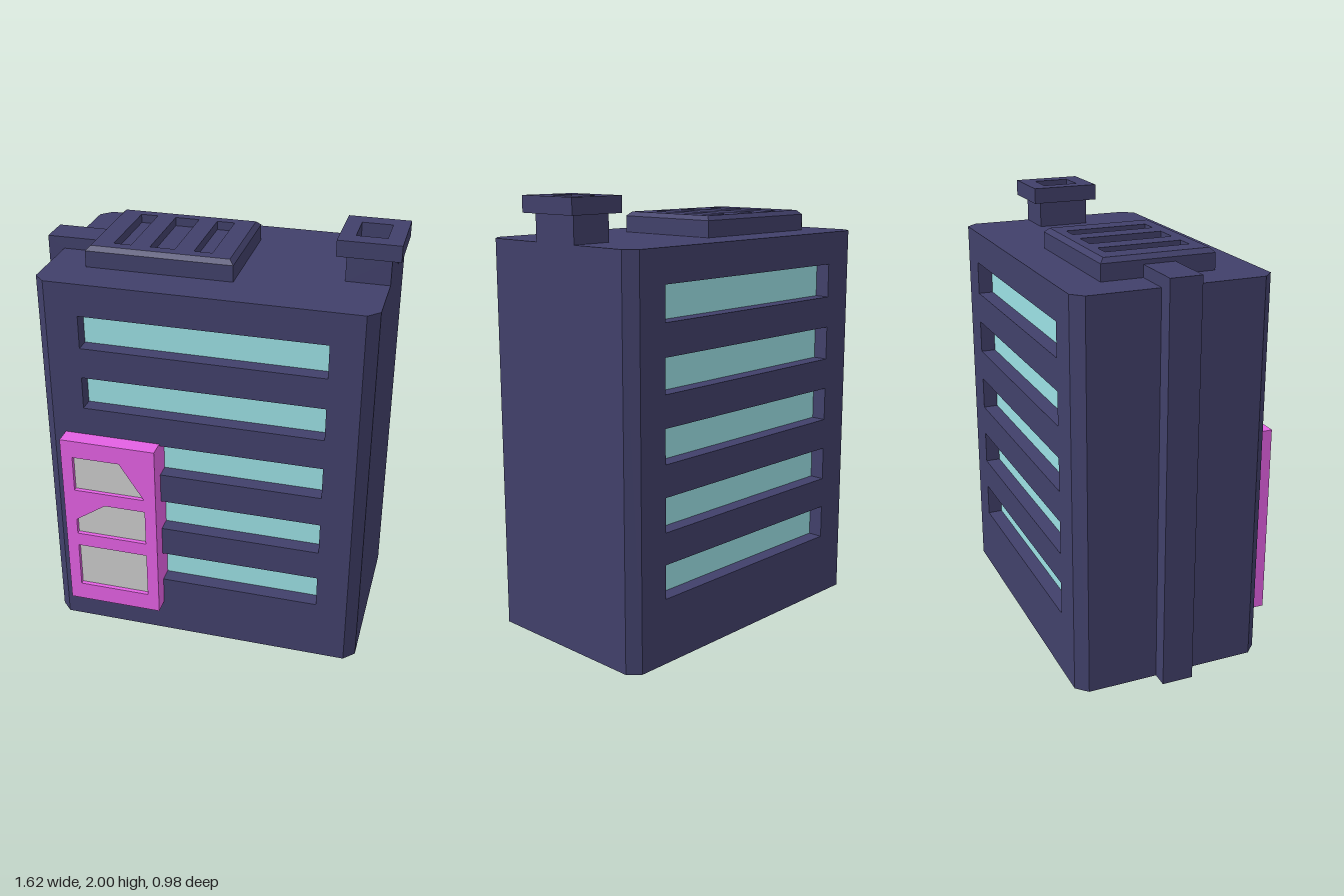
import * as THREE from 'three';

const mat = (color) => new THREE.MeshStandardMaterial({ color, flatShading: true });
const wall = mat(0x41406a), glass = mat(0x9be0e4), pink = mat(0xe461e4), grey = mat(0xcccccc);

const polygon = (pts) => new THREE.Shape(pts.map(([x, y]) => new THREE.Vector2(x, y)));
const rect = (x0, x1, y0, y1) => polygon([[x0, y0], [x1, y0], [x1, y1], [x0, y1]]);

// Extrudes an outline (with holes) along +z
function extrude(shape, depth, holes = [], steps = 1) {
  shape.holes = holes;
  return new THREE.ExtrudeGeometry(shape, { depth, steps, bevelEnabled: false });
}

// Extrudes a plan outline, drawn as (x, -z), upwards from y
const raise = (shape, y, height, holes, steps) =>
  extrude(shape, height, holes, steps).rotateX(-Math.PI / 2).translate(0, y, 0);
const plan = (x0, x1, z0, z1) => rect(x0, x1, -z1, -z0);

export function createModel() {
  const model = new THREE.Group();
  const add = (name, geometry, material = wall) => {
    const mesh = new THREE.Mesh(geometry, material);
    mesh.name = name;
    model.add(mesh);
    return mesh;
  };
  const box = (name, x0, x1, y0, y1, z0, z1, material) =>
    add(name, new THREE.BoxGeometry(x1 - x0, y1 - y0, z1 - z0)
      .translate((x0 + x1) / 2, (y0 + y1) / 2, (z0 + z1) / 2), material);

  // Building core: chamfered corners, front and back set in to receive the facades
  const H = 1.805, L = -0.735, R = 0.765, F = 0.41, B = -0.49, c = 0.05, d = 0.075;
  const outline = [
    [L, F - c], [L + c, F], [L + c, F - d], [R - c, F - d], [R - c, F], [R, F - c],
    [R, B + c], [R - c, B], [R - c, B + d], [L + c, B + d], [L + c, B], [L, B + c],
  ];
  add('buildingCore', raise(polygon(outline.map(([x, z]) => [x, -z])), 0, H));

  // Facades with window openings, and the glass behind them
  const rows = [0.3, 0.6, 0.9, 1.2, 1.5];
  for (const [side, z] of [['front', F - d], ['back', B]]) {
    const openings = rows.map((y) => rect(-0.535, 0.57, y, y + 0.155));
    add(side + 'Facade', extrude(rect(L + c, R - c, 0, H), d, openings).translate(0, 0, z));
    const paneZ = side === 'front' ? F - d : B + d - 0.006;
    for (const y of rows) box(side + 'Window', -0.535, 0.57, y, y + 0.155, paneZ, paneZ + 0.006, glass);
  }

  // Sign board with three sunken grey panels
  const panels = () => [
    polygon([[-0.575, 0.8], [-0.235, 0.8], [-0.35, 0.978], [-0.575, 0.978]]),
    polygon([[-0.575, 0.555], [-0.235, 0.555], [-0.235, 0.735], [-0.43, 0.735], [-0.575, 0.635]]),
    rect(-0.575, -0.235, 0.255, 0.487),
  ];
  box('signBack', -0.63, -0.18, 0.165, 1.065, F - d, 0.465, pink);
  add('signFace', extrude(rect(-0.63, -0.18, 0.165, 1.065), 0.025, panels()).translate(0, 0, 0.465), pink);
  for (const p of panels()) add('signPanel', extrude(p, 0.005).translate(0, 0, 0.465), grey);

  // Rooftop vent unit: slotted lid whose upper rim slopes inwards
  const [vx0, vx1, vz0, vz1] = [-0.56, 0.11, -0.305, 0.215];
  box('ventBase', vx0, vx1, H, 1.86, vz0, vz1);
  const slots = [[-0.45, -0.37], [-0.283, -0.17], [-0.083, 0]].map(([a, b]) => plan(a, b, -0.24, 0.145));
  const lid = raise(plan(vx0, vx1, vz0, vz1), 1.86, 0.04, slots, 2);
  const pos = lid.attributes.position;
  for (let i = 0; i < pos.count; i++) {
    if (pos.getY(i) < 1.89) continue;
    pos.setX(i, THREE.MathUtils.clamp(pos.getX(i), vx0 + 0.02, vx1 - 0.02));
    pos.setZ(i, THREE.MathUtils.clamp(pos.getZ(i), vz0 + 0.02, vz1 - 0.02));
  }
  lid.computeVertexNormals();
  add('ventLid', lid);

  // Square duct up the side wall and across the roof to the vent
  const duct = extrude(polygon([
    [-0.81, 0], [L, 0], [L, H], [vx0, H], [vx0, 1.86], [-0.81, 1.86],
  ]), 0.145).translate(0, 0, -0.115);
  add('duct', duct);

  // Chimney with an overhanging hollow cap
  box('chimneyNeck', 0.57, R, H, 1.927, -0.16, 0.08);
  add('chimneyCap', raise(plan(0.53, 0.807, -0.2, 0.115), 1.927, 0.073, [plan(0.6, 0.735, -0.127, 0.04)]));

  return model;
}
